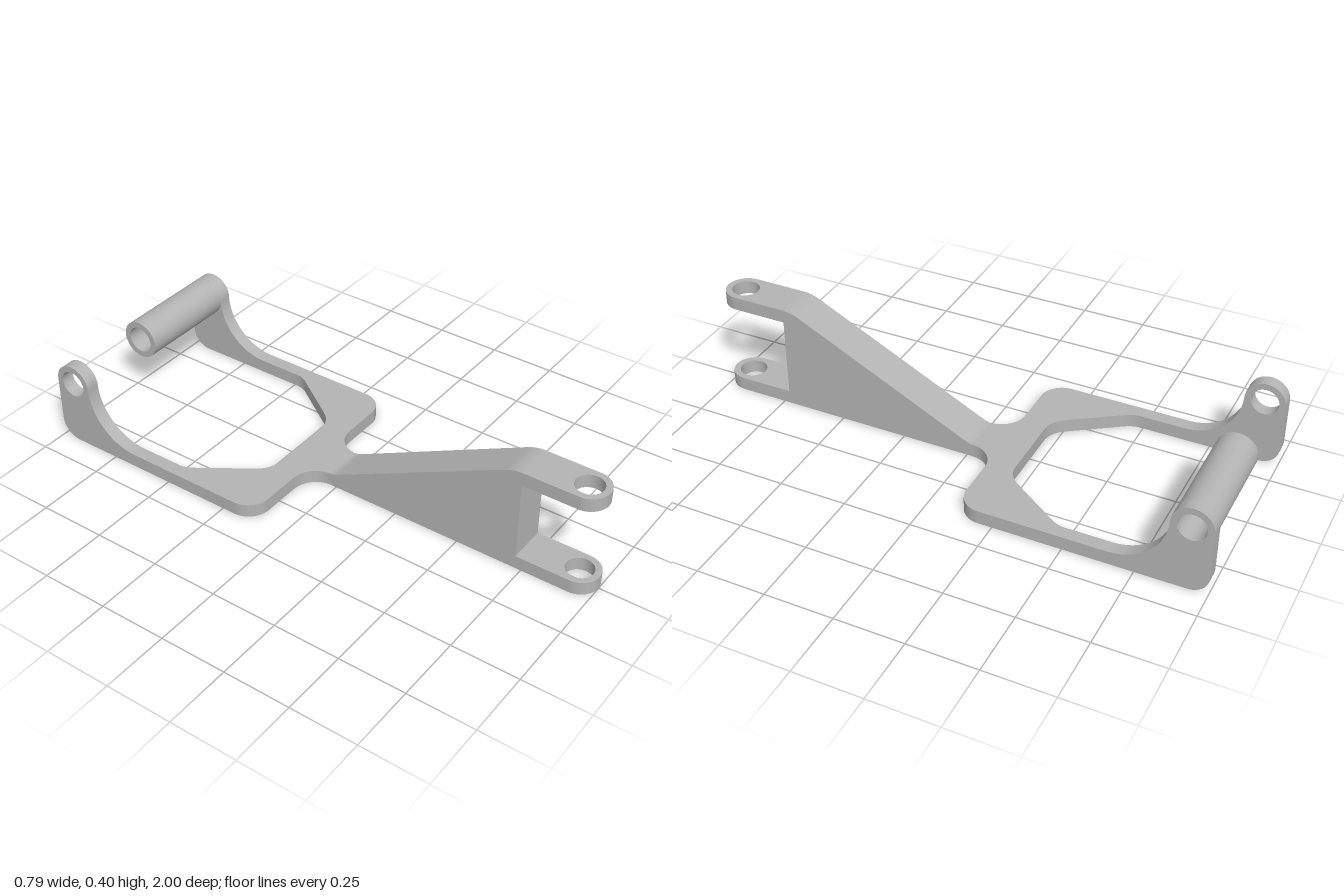
import * as THREE from 'three';
import { toCreasedNormals } from 'three/addons/utils/BufferGeometryUtils.js';

const T = 0.05;        // plate thickness
const W = 0.395;       // half width of the fork
const S = 0.073;       // half width of the stem, outer radius of the eyes
const BORE = 0.05;     // hole radius
const AXLE = 0.927;    // distance of each hole from the centre
const AXLE_Y = 0.247;
const JOIN = 0.52;     // where the arms leave the fork plate
const STEM = 0.02;     // where the stem leaves the fork plate

// Shapes use a "backward" axis, b = -z.
const extrude = (shape, depth) =>
  new THREE.ExtrudeGeometry(shape, { depth, bevelEnabled: false, curveSegments: 14 });

// Shape drawn in (x, b), raised from y0
const flat = (shape, y0, depth) =>
  toCreasedNormals(extrude(shape, depth).rotateX(-Math.PI / 2).translate(0, y0, 0), 0.5);

// Shape drawn in (b, y), extended from x0 towards +x
const upright = (shape, x0, depth) =>
  toCreasedNormals(extrude(shape, depth).rotateY(Math.PI / 2).translate(x0, 0, 0), 0.5);

function addHole(shape, cx, cy) {
  shape.holes.push(new THREE.Path().absarc(cx, cy, BORE, 0, Math.PI * 2, true));
}

export function createModel() {
  const group = new THREE.Group();
  const grey = new THREE.MeshStandardMaterial({ color: 0xb4b4b4 });
  grey.name = 'grey metal';
  const add = (name, geometry) => {
    const mesh = new THREE.Mesh(geometry, grey);
    mesh.name = name;
    group.add(mesh);
  };

  // U-shaped fork plate with filleted neck and chamfered inner corners
  const fork = new THREE.Shape();
  fork.moveTo(-S, STEM);
  fork.lineTo(S, STEM);
  fork.absarc(S + 0.095, STEM, 0.095, Math.PI, Math.PI / 2, true);
  fork.lineTo(W - 0.085, 0.115);
  fork.absarc(W - 0.085, 0.2, 0.085, -Math.PI / 2, 0, false);
  fork.lineTo(W, JOIN);
  fork.lineTo(W - T, JOIN);
  fork.lineTo(W - T, 0.49);
  fork.quadraticCurveTo(W - T, 0.462, 0.328, 0.437);
  fork.lineTo(0.205, 0.257);
  fork.quadraticCurveTo(0.173, 0.21, 0.118, 0.21);
  fork.lineTo(-0.118, 0.21);
  fork.quadraticCurveTo(-0.173, 0.21, -0.205, 0.257);
  fork.lineTo(-0.328, 0.437);
  fork.quadraticCurveTo(-(W - T), 0.462, -(W - T), 0.49);
  fork.lineTo(-(W - T), JOIN);
  fork.lineTo(-W, JOIN);
  fork.lineTo(-W, 0.2);
  fork.absarc(-(W - 0.085), 0.2, 0.085, Math.PI, Math.PI * 1.5, false);
  fork.lineTo(-S - 0.095, 0.115);
  fork.absarc(-S - 0.095, STEM, 0.095, Math.PI / 2, 0, true);
  add('forkPlate', flat(fork, 0, T));

  // Arms that sweep up into drilled eyes
  const arm = new THREE.Shape();
  arm.moveTo(JOIN, 0);
  arm.lineTo(0.93, 0);
  arm.absarc(0.93, 0.07, 0.07, -Math.PI / 2, 0, false);
  arm.lineTo(1, AXLE_Y);
  arm.absarc(AXLE, AXLE_Y, S, 0, Math.PI, false);
  arm.absarc(AXLE - S - 0.2, T + 0.2, 0.2, 0, -Math.PI / 2, true);
  arm.lineTo(JOIN, T);
  addHole(arm, AXLE, AXLE_Y);
  add('leftArm', upright(arm, W - T, T));
  add('rightArm', upright(arm, -W, T));

  // Hollow sleeve on the inside of the left eye
  const ring = new THREE.Shape().absarc(AXLE, AXLE_Y, S, 0, Math.PI * 2, false);
  addHole(ring, AXLE, AXLE_Y);
  add('sleeve', upright(ring, -0.037, W - T + 0.037));

  // Wedge-shaped stem
  const H = 0.397, FACE = -0.727;
  const wedge = new THREE.Shape();
  wedge.moveTo(FACE, 0);
  wedge.lineTo(STEM, 0);
  wedge.lineTo(STEM, T);
  wedge.quadraticCurveTo(0.01, T, -0.02, 0.065);
  wedge.lineTo(-0.66, 0.38);
  wedge.quadraticCurveTo(-0.694, H, FACE, H);
  add('stem', upright(wedge, -S, S * 2));

  // Pair of drilled lugs at the front of the stem
  const lug = new THREE.Shape();
  lug.moveTo(S, FACE);
  lug.lineTo(-S, FACE);
  lug.lineTo(-S, -AXLE);
  lug.absarc(0, -AXLE, S, Math.PI, Math.PI * 2, false);
  addHole(lug, 0, -AXLE);
  add('lowerLug', flat(lug, 0, T));
  add('upperLug', flat(lug, H - T, T));

  return group;
}
